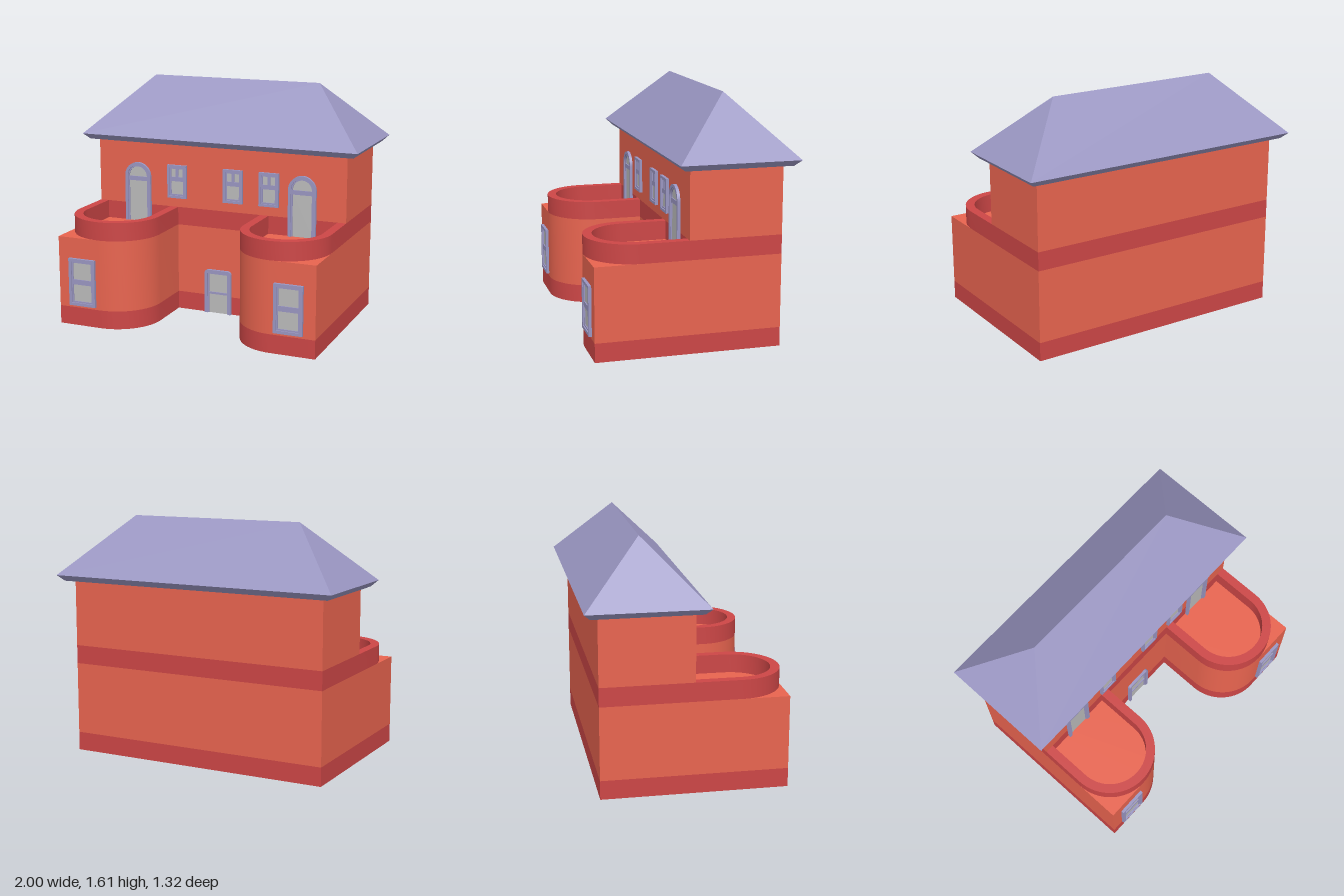
import * as THREE from 'three';
import { toCreasedNormals } from 'three/addons/utils/BufferGeometryUtils.js';

const paint = (color) => new THREE.MeshStandardMaterial({ color });
const WALL = paint(0xe8644f), BAND = paint(0xcc4646), TRIM = paint(0x9a96c2), GLASS = paint(0xbbbbbb);

const HALF = 0.91, BACK = -0.57, FACE = 0.035, FRONT = 0.64; // plan limits
const WING_X = 0.6075, WING_R = 0.3025, WING_Z = FRONT - WING_R; // rounded wing

function add(parent, name, geometry, material) {
  const mesh = new THREE.Mesh(geometry, material);
  mesh.name = name;
  parent.add(mesh);
  return mesh;
}

// Points on a circular arc, angles in units of PI
function arc(cx, cy, r, from, to, n = 16) {
  return Array.from({ length: n + 1 }, (_, i) => {
    const a = Math.PI * (from + (to - from) * i / n);
    return new THREE.Vector2(cx + r * Math.cos(a), cy + r * Math.sin(a));
  });
}

function extrude(shape, depth) {
  return new THREE.ExtrudeGeometry(shape, { depth, bevelEnabled: false });
}

// Extrude a plan outline given as (x, z) points from y0 up to y1
function storey(plan, y0, y1) {
  const shape = new THREE.Shape(plan.map((p) => new THREE.Vector2(p.x, -p.y)));
  const g = extrude(shape, y1 - y0).rotateX(-Math.PI / 2).translate(0, y0, 0);
  return toCreasedNormals(g, 0.6);
}

const v = (x, y) => new THREE.Vector2(x, y);

// Ground plan: square outer corners, rounded inner corners on both wings
function groundPlan() {
  const half = [v(HALF, BACK), v(HALF, FRONT),
    ...arc(WING_X, WING_Z, WING_R, 0.5, 1), v(WING_X - WING_R, FACE)];
  return [...half, ...half.map((p) => v(-p.x, p.y)).reverse()];
}

// U-shaped balcony wall around x = cx
function parapetPlan(cx) {
  const u = (r) => [v(cx + r, FACE), ...arc(cx, WING_Z, r, 0, 1, 32), v(cx - r, FACE)];
  return [...u(WING_R), ...u(WING_R - 0.06).reverse()];
}

// Upright outline with rounded top corners, running from bottom right to bottom left
function outline(w, h, r, inset, sill) {
  const x = w / 2 - inset, top = h - inset, bottom = sill ? inset : 0;
  const q = Math.max(r - inset, 0);
  const head = q > 0
    ? [...arc(x - q, top - q, q, 0, 0.5, 10), ...arc(q - x, top - q, q, 0.5, 1, 10)]
    : [v(x, top), v(-x, top)];
  return [v(x, bottom), ...head, v(-x, bottom)];
}

// Border between two insets; open at the foot where there is no sill
function border(w, h, r, a, b, sill, depth) {
  const outer = outline(w, h, r, a, sill), inner = outline(w, h, r, b, sill);
  let shape;
  if (sill) {
    shape = new THREE.Shape(outer);
    shape.holes.push(new THREE.Path(inner));
  } else shape = new THREE.Shape([...outer, ...inner.reverse()]);
  return toCreasedNormals(extrude(shape, depth), 0.6);
}

// Window or door: frame, sash, glass, cross rail and optional upper mullion
function opening(parent, name, o) {
  const { x, y, z, w, h, r = 0, sill = true, rail, railH = 0.03, mullion = false, edge = 0.02 } = o;
  const group = new THREE.Group();
  group.name = name;
  group.position.set(x, y, z);
  add(group, 'frame', border(w, h, r, 0, edge, sill, 0.02), TRIM);
  add(group, 'sash', border(w, h, r, edge, edge + 0.01, sill, 0.012), TRIM);
  add(group, 'glass', extrude(new THREE.Shape(outline(w, h, r, edge, sill)), 0.005), GLASS);
  add(group, 'crossRail', new THREE.BoxGeometry(w - 2 * edge, railH, 0.012), TRIM)
    .position.set(0, rail - y, 0.006);
  if (mullion) {
    const tall = y + h - edge - rail;
    add(group, 'mullion', new THREE.BoxGeometry(0.02, tall, 0.012), TRIM)
      .position.set(0, rail - y + tall / 2, 0.006);
  }
  parent.add(group);
}

// Hipped roof built from rectangular rings: soffit, eaves, ridge
function roofGeometry() {
  const cz = -0.27;
  const ring = (x, y, d) => [[-x, y, cz + d], [x, y, cz + d], [x, y, cz - d], [-x, y, cz - d]];
  const rings = [ring(0.96, 1.18, 0.35), ring(1, 1.22, 0.39), ring(0.61, 1.61, 0)];
  const [a0, a1, a2, a3] = rings[0];
  const tris = [a0, a3, a2, a0, a2, a1];
  for (let k = 0; k < 2; k++) {
    const lo = rings[k], hi = rings[k + 1];
    for (let i = 0; i < 4; i++) {
      const j = (i + 1) % 4;
      tris.push(lo[i], lo[j], hi[j]);
      if (k === 0 || i % 2 === 0) tris.push(lo[i], hi[j], hi[i]); // hip ends are triangles
    }
  }
  const g = new THREE.BufferGeometry();
  g.setAttribute('position', new THREE.Float32BufferAttribute(tris.flat(), 3));
  g.computeVertexNormals();
  return g;
}

export function createModel() {
  const house = new THREE.Group();
  house.name = 'house';

  // Walls, stacked as flush coloured courses
  const ground = groundPlan();
  const upper = [v(-HALF, BACK), v(HALF, BACK), v(HALF, FACE), v(-HALF, FACE)];
  add(house, 'baseBand', storey(ground, 0, 0.125), BAND);
  add(house, 'groundFloorWalls', storey(ground, 0.125, 0.61), WALL);
  add(house, 'middleBand', storey(upper, 0.61, 0.735), BAND);
  add(house, 'upperFloorWalls', storey(upper, 0.735, 1.18), WALL);
  add(house, 'roof', roofGeometry(), TRIM);

  // Balconies, balcony doors and wing windows
  for (const [side, s] of [['left', 1], ['right', -1]]) {
    add(house, side + 'Parapet', storey(parapetPlan(s * WING_X), 0.61, 0.735), BAND);
    opening(house, side + 'BalconyDoor',
      { x: s * 0.607, y: 0.61, z: FACE, w: 0.195, h: 0.42, r: 0.0975, sill: false, rail: 0.915 });
    opening(house, side + 'WingWindow',
      { x: s * 0.732, y: 0.143, z: FRONT, w: 0.195, h: 0.327, rail: 0.307, railH: 0.035 });
  }

  // Small upper windows
  [-0.307, 0.11, 0.37].forEach((x, i) => opening(house, 'upperWindow' + (i + 1),
    { x, y: 0.8, z: FACE, w: 0.142, h: 0.232, rail: 0.933, mullion: true, edge: 0.017 }));

  // Front door
  opening(house, 'frontDoor',
    { x: 0, y: 0, z: FACE, w: 0.195, h: 0.312, r: 0.025, sill: false, rail: 0.145, railH: 0.015 });

  return house;
}
